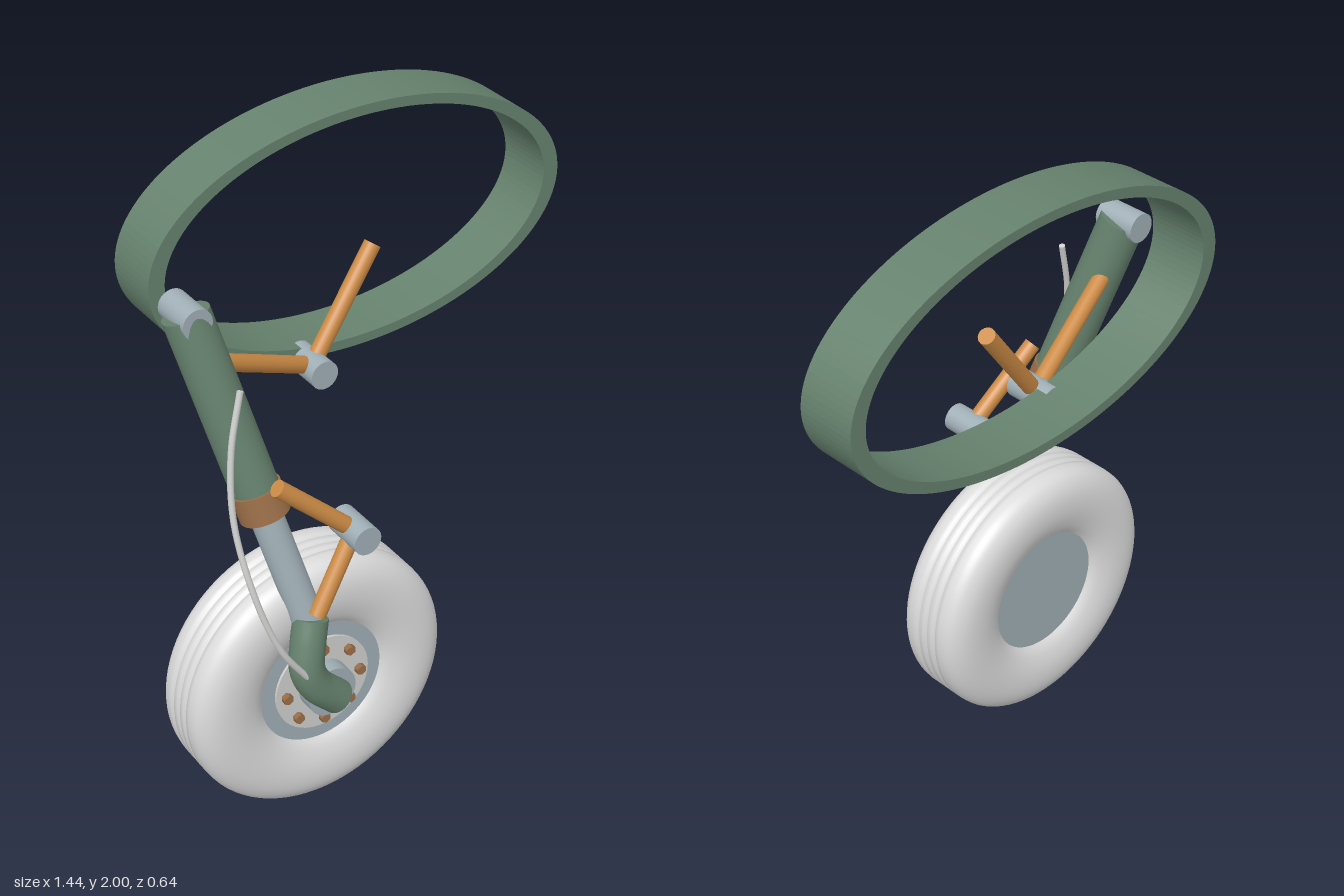
import * as THREE from 'three';

const V = (x, y, z) => new THREE.Vector3(x, y, z);
const Z = V(0, 0, 1);

function material(name, color) {
  const m = new THREE.MeshStandardMaterial({ color });
  m.name = name;
  return m;
}

export function createModel() {
  const model = new THREE.Group();
  model.name = 'landingGear';
  const green = material('green paint', 0x66826e);
  const steel = material('blue grey steel', 0xa0afb6);
  const orange = material('orange link', 0xcc8b45);
  const brown = material('brown collar', 0x9c7049);
  const rubber = material('pale tyre', 0xdcdcdc);
  const plate = material('light grey plate', 0xd0d0ce);

  function add(name, geometry, mat, parent = model) {
    const mesh = new THREE.Mesh(geometry, mat);
    mesh.name = name;
    parent.add(mesh);
    return mesh;
  }

  // Capped cylinder between two points
  function rod(name, a, b, r, mat, sides = 32, parent = model) {
    const d = b.clone().sub(a);
    const mesh = add(name, new THREE.CylinderGeometry(r, r, d.length(), sides), mat, parent);
    mesh.position.copy(a).add(b).multiplyScalar(0.5);
    mesh.quaternion.setFromUnitVectors(V(0, 1, 0), d.normalize());
    return mesh;
  }

  // Swept tube with flat caps at both ends
  function sweep(name, points, r, mat, segments, sides) {
    const group = new THREE.Group();
    group.name = name;
    const curve = new THREE.CatmullRomCurve3(points);
    add(name + 'Body', new THREE.TubeGeometry(curve, segments, r, sides), mat, group);
    for (const t of [0, 1]) {
      const cap = add(name + 'Cap', new THREE.CircleGeometry(r, sides), mat, group);
      cap.position.copy(curve.getPoint(t));
      cap.quaternion.setFromUnitVectors(Z, curve.getTangent(t).multiplyScalar(t ? 1 : -1));
    }
    model.add(group);
  }

  // Elliptical fuselage frame
  const hoop = new THREE.Shape();
  hoop.absellipse(0, 0, 0.667, 0.365, 0, Math.PI * 2);
  const hole = new THREE.Path();
  hole.absellipse(0, 0, 0.618, 0.336, 0, Math.PI * 2);
  hoop.holes.push(hole);
  add('frameRing', new THREE.ExtrudeGeometry(hoop, { depth: 0.185, bevelEnabled: false, curveSegments: 64 }), green)
    .position.set(0.05, 1.635, -0.322);

  // Main leg: sleeve, collar, piston and top pivot
  const top = V(-0.573, 1.62, -0.02);
  const foot = V(-0.37, 0.69, 0.223);
  const along = (t) => top.clone().lerp(foot, t);
  rod('strutSleeve', top, along(0.6), 0.067, green);
  rod('strutCollar', along(0.545), along(0.632), 0.073, brown);
  rod('strutPiston', along(0.5), foot, 0.047, steel);
  rod('topPivot', V(-0.573, 1.617, -0.088), V(-0.573, 1.617, 0.045), 0.044, steel);

  // Bent axle arm
  sweep('axleArm', [
    V(-0.369, 0.71, 0.235), V(-0.39, 0.64, 0.252), V(-0.402, 0.565, 0.264),
    V(-0.378, 0.5, 0.268), V(-0.305, 0.42, 0.266),
  ], 0.051, green, 32, 28);

  // Folding brace and torque links, each pair joined by a pin
  const knee = V(-0.142, 1.277, -0.105);
  rod('braceInner', V(-0.543, 1.475, 0), knee, 0.025, orange, 20);
  rod('braceOuter', knee, V(0.085, 1.575, -0.143), 0.025, orange, 20);
  rod('bracePin', V(-0.142, 1.277, -0.174), V(-0.142, 1.277, -0.037), 0.043, steel);
  const elbow = V(-0.224, 0.952, 0.235);
  rod('torqueLinkUpper', V(-0.447, 1.155, 0.205), elbow, 0.025, orange, 20);
  rod('torqueLinkLower', V(-0.367, 0.735, 0.265), elbow, 0.025, orange, 20);
  rod('torqueLinkPin', V(-0.224, 0.952, 0.17), V(-0.224, 0.952, 0.304), 0.043, steel);

  // Brake hose
  sweep('brakeHose', [
    V(-0.53, 1.47, 0.174), V(-0.572, 1.3, 0.188), V(-0.588, 1.1, 0.217),
    V(-0.56, 0.86, 0.278), V(-0.503, 0.69, 0.303), V(-0.42, 0.56, 0.3),
  ], 0.009, plate, 48, 12);

  // Wheel
  const wheel = new THREE.Group();
  wheel.name = 'wheel';
  wheel.position.set(-0.305, 0.417, 0.088);
  model.add(wheel);

  // Tyre section: curved sidewall to shoulder, then grooved tread, mirrored
  const side = new THREE.SplineCurve([
    [0.188, 0.08], [0.22, 0.107], [0.27, 0.124], [0.32, 0.128], [0.363, 0.121],
    [0.395, 0.103], [0.411, 0.08], [0.415, 0.055],
  ].map(([r, h]) => new THREE.Vector2(r, h))).getPoints(28);
  const profile = side.map((p) => new THREE.Vector2(p.x, -p.y));
  for (const h of [-0.034, 0, 0.034]) {
    for (const [dh, r] of [[-0.008, 0.415], [-0.004, 0.406], [0.004, 0.406], [0.008, 0.415]]) {
      profile.push(new THREE.Vector2(r, h + dh));
    }
  }
  profile.push(...side.slice().reverse());
  add('tyre', new THREE.LatheGeometry(profile, 80), rubber, wheel).rotation.x = Math.PI / 2;

  // Rim, bolt plate, hub and ring of hex bolts
  const disc = (name, r, z0, z1, mat) => rod(name, V(0, 0, z0), V(0, 0, z1), r, mat, 48, wheel);
  disc('rim', 0.204, -0.09, 0.092, steel);
  disc('boltPlate', 0.155, 0.08, 0.1, plate);
  disc('hub', 0.079, 0.08, 0.152, steel);
  for (let i = 0; i < 8; i++) {
    const a = (i * Math.PI) / 4;
    const x = 0.123 * Math.cos(a), y = 0.123 * Math.sin(a);
    rod('wheelBolt', V(x, y, 0.09), V(x, y, 0.118), 0.016, brown, 6, wheel).material = brown;
  }
  return model;
}
